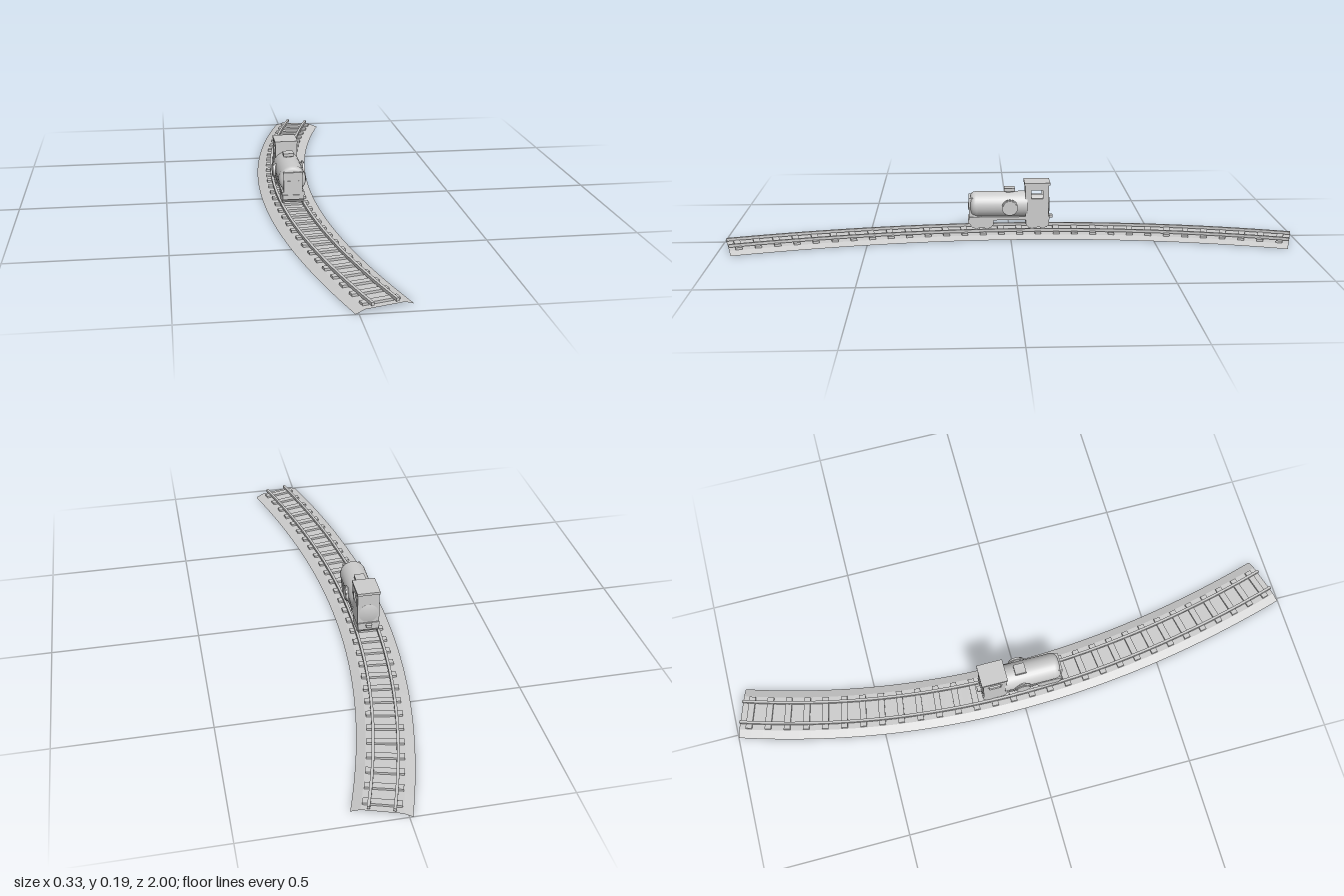
import * as THREE from 'three';

export function createModel() {
  const model = new THREE.Group();
  const grey = new THREE.MeshStandardMaterial({ color: 0xcccccc });
  grey.name = 'plain grey';
  grey.side = THREE.DoubleSide;

  const add = (parent, name, geometry, x = 0, y = 0, z = 0) => {
    const mesh = new THREE.Mesh(geometry, grey);
    mesh.name = name;
    mesh.position.set(x, y, z);
    parent.add(mesh);
    return mesh;
  };
  // Box given by its limits on each axis
  const block = (parent, name, [x0, x1], [y0, y1], [z0, z1]) =>
    add(parent, name, new THREE.BoxGeometry(x1 - x0, y1 - y0, z1 - z0),
      (x0 + x1) / 2, (y0 + y1) / 2, (z0 + z1) / 2);

  // Centre line of the curved track
  const path = new THREE.CubicBezierCurve3(
    new THREE.Vector3(0.075, 0, -0.972), new THREE.Vector3(-0.128, 0, -0.36),
    new THREE.Vector3(-0.128, 0, 0.27), new THREE.Vector3(0.077, 0, 0.974));

  // Sweep a profile of [sideways offset, height] along the track
  const sweep = (profile, closed) => {
    const steps = 48, pos = [];
    const rings = [];
    for (let i = 0; i <= steps; i++) {
      const p = path.getPointAt(i / steps), t = path.getTangentAt(i / steps);
      rings.push(profile.map(([o, y]) => [p.x + t.z * o, y, p.z - t.x * o]));
    }
    const quad = (a, b, c, d) => pos.push(...a, ...b, ...c, ...a, ...c, ...d);
    const n = profile.length;
    for (let i = 0; i < steps; i++)
      for (let j = 0; j < (closed ? n : n - 1); j++) {
        const k = (j + 1) % n;
        quad(rings[i][j], rings[i + 1][j], rings[i + 1][k], rings[i][k]);
      }
    if (closed) {
      quad(...rings[0]);
      quad(...[...rings[steps]].reverse());
    }
    const g = new THREE.BufferGeometry();
    g.setAttribute('position', new THREE.Float32BufferAttribute(pos, 3));
    g.computeVertexNormals();
    return g;
  };

  // Track: hollow ballast bed, two rails and the sleepers
  const track = new THREE.Group();
  track.name = 'track';
  model.add(track);
  add(track, 'ballastBed', sweep([[-0.09, 0], [-0.061, 0.01], [0.061, 0.01], [0.09, 0]], false));
  for (const s of [-1, 1]) {
    const a = s * 0.038 - 0.0045, b = s * 0.038 + 0.0045;
    add(track, s > 0 ? 'leftRail' : 'rightRail',
      sweep([[a, 0.016], [a, 0.026], [b, 0.026], [b, 0.016]], true));
  }
  const sleeper = new THREE.BoxGeometry(0.116, 0.008, 0.022);
  const count = 30;
  for (let i = 0; i < count; i++) {
    const u = (i + 0.5) / count, p = path.getPointAt(u), t = path.getTangentAt(u);
    add(track, 'sleeper', sleeper, p.x, 0.0135, p.z).rotation.y = Math.atan2(t.x, t.z);
  }

  // Locomotive
  const loco = new THREE.Group();
  loco.name = 'locomotive';
  loco.position.x = -0.0745;
  model.add(loco);

  // Boiler with a rounded front edge
  const boilerProfile = [[0, -0.139], [0.034, -0.139], [0.034, -0.13], [0.046, -0.05], [0.046, 0.122],
    [0.045, 0.13], [0.041, 0.137], [0.034, 0.141], [0, 0.142]];
  boilerProfile[3] = [0.034, -0.06];
  boilerProfile.splice(4, 0, [0.046, -0.06]);
  const boilerGeo = new THREE.LatheGeometry(boilerProfile.map(([r, y]) => new THREE.Vector2(r, y)), 32);
  boilerGeo.rotateX(Math.PI / 2);
  add(loco, 'boiler', boilerGeo, 0, 0.108, 0);
  const band = new THREE.CylinderGeometry(0.047, 0.047, 0.006, 32, 1, true).rotateX(Math.PI / 2);
  add(loco, 'boilerBand', band, 0, 0.108, 0.118);
  block(loco, 'smokeboxFront', [-0.032, 0.032], [0.068, 0.138], [0.1, 0.147]);
  block(loco, 'frontPlate', [-0.019, 0.019], [0.096, 0.109], [0.147, 0.149]);

  // Chimney post and wide cap
  block(loco, 'chimneyPost', [-0.01, 0.01], [0.145, 0.16], [-0.012, 0.014]);
  block(loco, 'chimneyCap', [-0.018, 0.018], [0.157, 0.168], [-0.017, 0.021]);

  // Round hubs on both flanks
  for (const s of [-1, 1]) {
    const disc = (name, r, w, x) =>
      add(loco, name, new THREE.CylinderGeometry(r, r, w, 24).rotateZ(Math.PI / 2), s * x, 0.107, 0.002);
    disc('hubBase', 0.021, 0.016, 0.043);
    disc('hubRim', 0.0285, 0.005, 0.0495);
    disc('hubFace', 0.0245, 0.004, 0.0535);
  }

  // Cab with front windows, side openings and a flat roof
  const cabZ = [-0.136, -0.054];
  block(loco, 'cabLower', [-0.038, 0.038], [0.065, 0.13], cabZ);
  block(loco, 'cabBack', [-0.038, 0.038], [0.13, 0.184], [-0.136, -0.13]);
  block(loco, 'cabFront', [-0.038, 0.038], [0.13, 0.184], [-0.06, -0.054]);
  block(loco, 'cabRoof', [-0.04, 0.04], [0.183, 0.192], [-0.141, -0.05]);
  for (const s of [-1, 1]) {
    const wall = new THREE.Shape([[-0.136, 0.13], [-0.054, 0.13], [-0.054, 0.184], [-0.136, 0.184]]
      .map(([z, y]) => new THREE.Vector2(-z, y)));
    wall.holes.push(new THREE.Path([[-0.115, 0.135], [-0.115, 0.165], [-0.075, 0.165], [-0.075, 0.135]]
      .map(([z, y]) => new THREE.Vector2(-z, y))));
    const g = new THREE.ExtrudeGeometry(wall, { depth: 0.005, bevelEnabled: false });
    g.rotateY(Math.PI / 2);
    add(loco, 'cabSide', g, s > 0 ? 0.033 : -0.038, 0, 0);
    for (const z of [-0.118, -0.072])
      block(loco, 'windowFrame', s > 0 ? [0.036, 0.0395] : [-0.0395, -0.036],
        [0.13, 0.16], [z - 0.003, z + 0.003]);
  }

  // Frame, wheel skirts and couplings
  block(loco, 'runningBoard', [-0.038, 0.038], [0.058, 0.07], [-0.14, 0.147]);
  for (const [z0, z1] of [[0.06, 0.143], [-0.138, -0.055]]) {
    const skirt = new THREE.Shape([[z0, 0.06], [z0, 0.042], [z0 + 0.009, 0.03],
      [z1 - 0.009, 0.03], [z1, 0.042], [z1, 0.06]].map(([z, y]) => new THREE.Vector2(-z, y)));
    const g = new THREE.ExtrudeGeometry(skirt, { depth: 0.073, bevelEnabled: false });
    g.rotateY(Math.PI / 2);
    add(loco, 'wheelSkirt', g, -0.0365, 0, 0);
    for (const s of [-1, 1])
      for (const z of [z0 + 0.023, z1 - 0.023])
        add(loco, 'wheel', new THREE.CylinderGeometry(0.014, 0.014, 0.006, 16).rotateZ(Math.PI / 2),
          s * 0.033, 0.04, z);
  }
  block(loco, 'rearCoupling', [-0.01, 0.01], [0.058, 0.067], [-0.152, -0.138]);
  block(loco, 'frontBuffer', [-0.036, 0.036], [0.044, 0.06], [0.14, 0.15]);

  return model;
}
